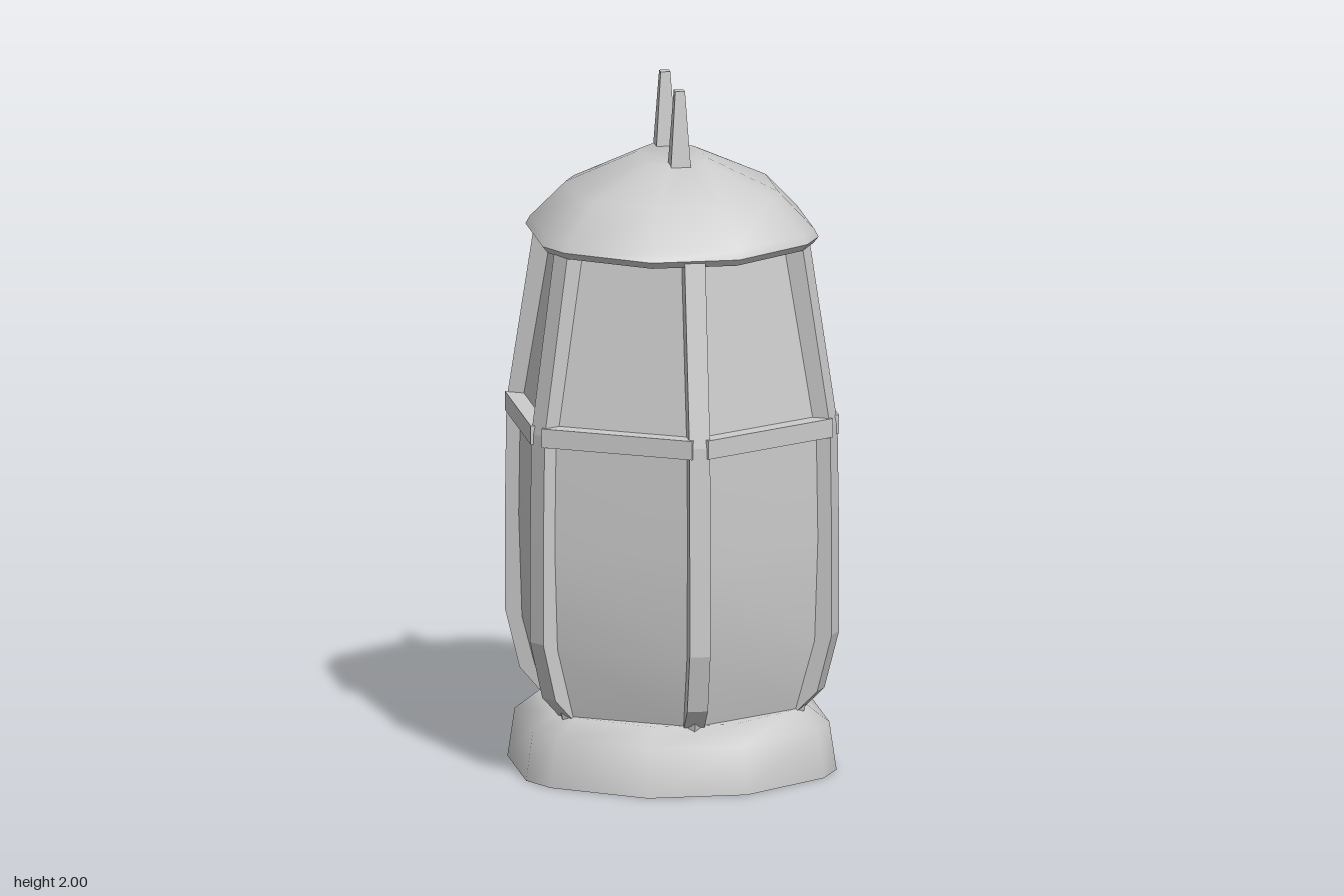
import * as THREE from 'three';
import { toCreasedNormals } from 'three/addons/utils/BufferGeometryUtils.js';

const material = new THREE.MeshStandardMaterial({ color: 0xcccccc });

// Twelve-sided outline (unit size) shared by the base and the dome, from +z towards +x
const quarter = [[0.32, 1], [0.88, 0.6], [1, 0.37]];
const half = [...quarter, ...quarter.map(([x, z]) => [x, -z]).reverse()];
const outline = [...half, ...half.map(([x, z]) => [-x, -z])];

function add(parent, name, geometry) {
  const mesh = new THREE.Mesh(geometry, material);
  mesh.name = name;
  parent.add(mesh);
  return mesh;
}

// Closed solid through rings given as [y, half width, half depth]
function loft(rings, crease) {
  const n = outline.length;
  const positions = [];
  const index = [];
  for (const [y, sx, sz] of rings) {
    for (const [x, z] of outline) positions.push(x * sx, y, z * sz);
  }
  for (let i = 0; i < rings.length - 1; i++) {
    for (let j = 0; j < n; j++) {
      const a = i * n + j, b = i * n + (j + 1) % n;
      index.push(a, b, b + n, a, b + n, a + n);
    }
  }
  const top = (rings.length - 1) * n;
  for (let j = 1; j < n - 1; j++) {
    index.push(0, j + 1, j, top, top + j, top + j + 1);
  }
  const geometry = new THREE.BufferGeometry();
  geometry.setAttribute('position', new THREE.Float32BufferAttribute(positions, 3));
  geometry.setIndex(index);
  return toCreasedNormals(geometry, crease);
}

// Six-sided shell with corners on the z axis
function hexShell(profile) {
  const points = profile.map(([r, y]) => new THREE.Vector2(r, y));
  return toCreasedNormals(new THREE.LatheGeometry(points, 6), 0.5);
}

// Corner rib: side profile [radius, y] extruded to its width, pointing towards +z
function ribGeometry() {
  const profile = [
    [0.395, 0.19], [0.455, 0.25], [0.5, 0.42], [0.5, 0.7], [0.495, 1.03], [0.41, 1.555],
    [0.34, 1.555], [0.43, 1.03], [0.43, 0.4], [0.36, 0.19],
  ];
  const shape = new THREE.Shape(profile.map(([r, y]) => new THREE.Vector2(r, y)));
  const geometry = new THREE.ExtrudeGeometry(shape, { depth: 0.06, bevelEnabled: false });
  return geometry.translate(0, 0, -0.03).rotateY(-Math.PI / 2);
}

// Tapered square spike
function hornGeometry() {
  const geometry = new THREE.CylinderGeometry(0.014 * Math.SQRT2, 0.03 * Math.SQRT2, 0.24, 4);
  geometry.rotateY(Math.PI / 4);
  return toCreasedNormals(geometry, 0.3);
}

export function createModel() {
  const model = new THREE.Group();
  model.name = 'lantern';

  add(model, 'base', loft([
    [0, 0.45, 0.45], [0.14, 0.43, 0.435], [0.195, 0.36, 0.39],
  ], 0.9));

  // Recessed panels below and above the middle band
  add(model, 'lowerPanels', hexShell([[0.4, 0.17], [0.465, 0.4], [0.475, 0.7], [0.47, 1.02]]));
  add(model, 'upperPanels', hexShell([[0.465, 1.02], [0.37, 1.56]]));

  // Ribs on the six corners and bars across the six faces
  const rib = ribGeometry();
  const bar = new THREE.BoxGeometry(0.46, 0.055, 0.07).translate(0, 1.027, 0.412);
  for (let i = 0; i < 6; i++) {
    add(model, 'rib', rib).rotation.y = i * Math.PI / 3;
    add(model, 'bandBar', bar).rotation.y = (i + 0.5) * Math.PI / 3;
  }

  // Faceted dome with a thin rim
  add(model, 'dome', loft([
    [1.542, 0.385, 0.4], [1.562, 0.4, 0.415], [1.585, 0.388, 0.402],
    [1.69, 0.29, 0.31], [1.785, 0.09, 0.15],
  ], 0.8));

  for (const z of [-0.13, 0.13]) {
    add(model, 'horn', hornGeometry()).position.set(0, 1.88, z);
  }
  return model;
}
